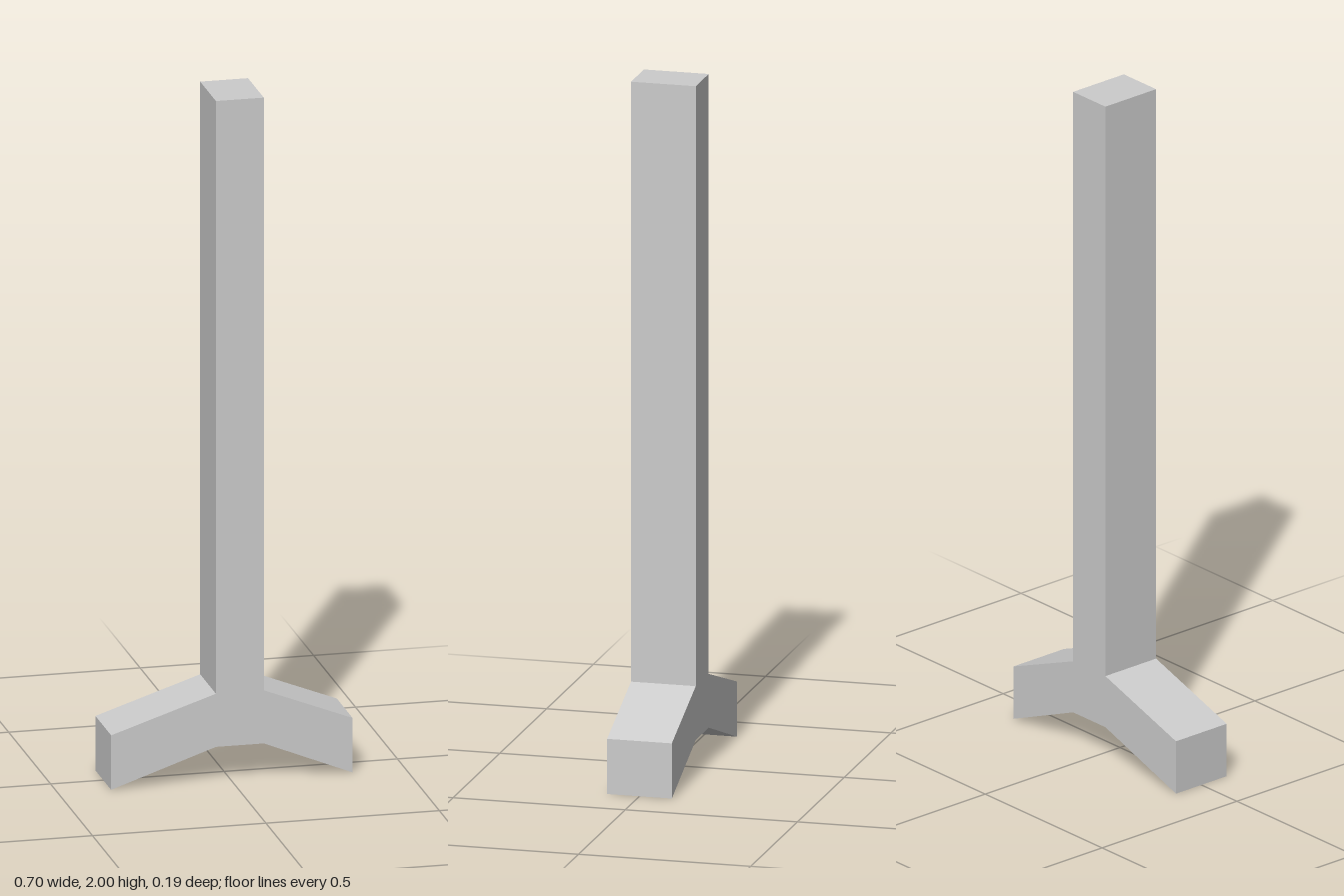
import * as THREE from 'three';

export function createModel() {
  const group = new THREE.Group();
  group.name = 'forkedPost';

  const depth = 0.188;
  const postLeft = 0.092, postRight = -0.046; // post sides, slightly off centre
  const footX = 0.348;                        // outer end of each foot
  const footTop = 0.16, hubBottom = 0.104, hubTop = 0.26;

  // Front outline: upright post with two feet sloping down, anticlockwise
  const outline = new THREE.Shape([
    [-footX, 0], [postRight, hubBottom], [postLeft, hubBottom], [footX, 0],
    [footX, footTop], [postLeft, hubTop], [postLeft, 2],
    [postRight, 2], [postRight, hubTop], [-footX, footTop],
  ].map(([x, y]) => new THREE.Vector2(x, y)));

  const geometry = new THREE.ExtrudeGeometry(outline, { depth, bevelEnabled: false });
  geometry.translate(0, 0, -depth / 2);

  const post = new THREE.Mesh(
    geometry,
    new THREE.MeshStandardMaterial({ color: 0xcccccc, flatShading: true }),
  );
  post.name = 'postWithFeet';
  group.add(post);
  return group;
}
